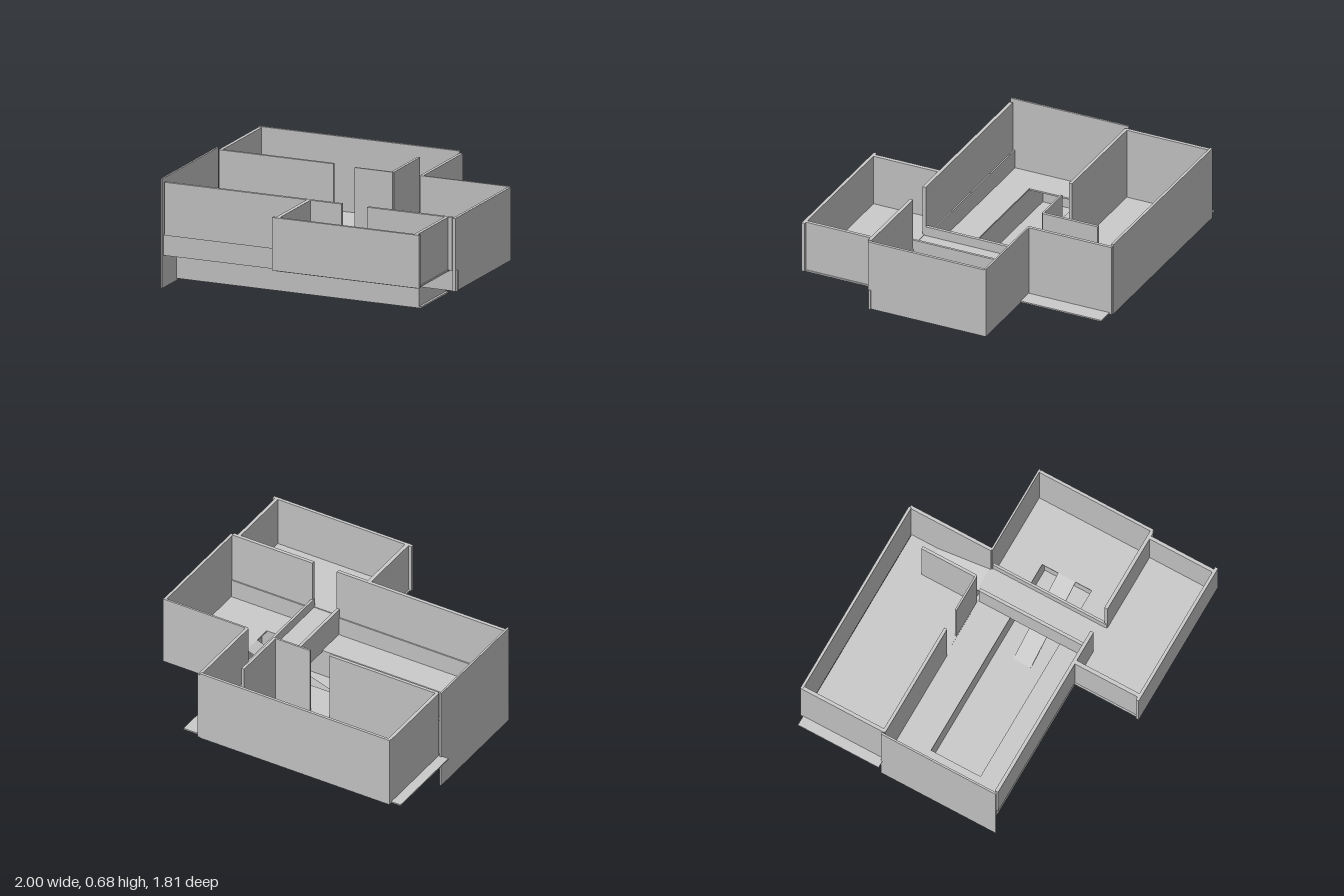
import * as THREE from 'three';

const material = new THREE.MeshStandardMaterial({ color: 0xcccccc, flatShading: true, side: THREE.DoubleSide });

export function createModel() {
  const model = new THREE.Group();
  model.name = 'openRoofHouse';

  const add = (name, geometry) => {
    const mesh = new THREE.Mesh(geometry, material);
    mesh.name = name;
    model.add(mesh);
    return mesh;
  };

  // Box given by its two extents on each axis
  const slab = (name, x0, x1, y0, y1, z0, z1) => {
    const g = new THREE.BoxGeometry(x1 - x0, y1 - y0, z1 - z0);
    g.translate((x0 + x1) / 2, (y0 + y1) / 2, (z0 + z1) / 2);
    return add(name, g);
  };

  // Main hall floor with the opening over the pit
  const floor = new THREE.Shape([[-0.95, -0.42], [0.99, -0.42], [0.99, 0.34], [-0.95, 0.34]]
    .map(p => new THREE.Vector2(...p)));
  floor.holes.push(new THREE.Path([[-0.75, -0.23], [-0.75, 0.11], [0.61, 0.11], [0.61, -0.23]]
    .map(p => new THREE.Vector2(...p))));
  const floorGeometry = new THREE.ExtrudeGeometry(floor, { depth: 0.01, bevelEnabled: false });
  floorGeometry.rotateX(-Math.PI / 2).translate(0, 0.2, 0);
  add('hallFloor', floorGeometry);

  // Main hall walls
  slab('hallRightWall', -0.955, -0.943, 0, 0.68, -0.34, 0.45);
  slab('hallLeftWall', 0.972, 0.99, 0.2, 0.655, -0.335, 0.445);
  slab('hallFrontLowerWall', -0.943, 1.0, 0.2, 0.33, 0.422, 0.436);
  slab('hallFrontWall', -0.93, 0.24, 0.33, 0.66, 0.43, 0.452);
  slab('hallFrontWall', 0.41, 0.972, 0.33, 0.66, 0.43, 0.452);
  slab('hallBackWall', -0.93, -0.175, 0.2, 0.67, -0.342, -0.322);
  slab('hallBackWall', -0.04, 0.21, 0.2, 0.66, -0.345, -0.333);
  slab('hallBackWall', 0.4, 0.99, 0.2, 0.66, -0.345, -0.333);

  // Raised walkway with low parapets
  slab('walkwayDeck', 0.24, 0.41, 0.32, 0.33, -0.35, 0.45);
  slab('walkwayParapet', 0.22, 0.24, 0.2, 0.39, -0.325, 0.45);
  slab('walkwayParapet', 0.405, 0.42, 0.2, 0.39, -0.335, 0.45);

  // Back room
  slab('backRoomFloor', -1.0, 0.52, 0.203, 0.212, -0.885, -0.33);
  slab('backRoomBackWall', -0.935, 0.395, 0.2, 0.675, -0.905, -0.888);
  slab('backRoomRightWall', -0.935, -0.913, 0.2, 0.67, -0.9, -0.33);
  slab('backRoomLeftWall', 0.392, 0.412, 0.2, 0.66, -0.9, -0.34);
  slab('rampSideWall', 0.2, 0.218, 0.2, 0.66, -0.71, -0.34);

  // Front room
  slab('frontRoomFloor', 0.0, 0.95, 0.325, 0.335, 0.44, 0.89);
  slab('frontRoomFrontWall', -0.01, 0.962, 0.33, 0.66, 0.882, 0.902);
  slab('frontRoomRightWall', 0.01, 0.035, 0.33, 0.66, 0.45, 0.89);
  slab('frontRoomLeftWall', 0.924, 0.945, 0.33, 0.66, 0.45, 0.89);

  // Sunken pit below the hall
  slab('pitFloor', -0.945, 0.675, 0.013, 0.023, -0.13, 0.255);
  slab('pitFrontWall', -0.945, 0.66, 0.02, 0.2, 0.235, 0.255);
  slab('pitBackWall', -0.945, 0.66, 0.02, 0.2, -0.13, -0.112);
  slab('pitEndWall', 0.645, 0.66, 0.02, 0.2, -0.112, 0.235);

  // Ramp from the back room up to the walkway
  const wedge = new THREE.Shape([[0.71, 0.21], [0.35, 0.21], [0.35, 0.33]].map(p => new THREE.Vector2(...p)));
  const wedgeGeometry = new THREE.ExtrudeGeometry(wedge, { depth: 0.174, bevelEnabled: false });
  wedgeGeometry.rotateY(Math.PI / 2).translate(0.218, 0, 0);
  add('walkwayRamp', wedgeGeometry);

  // Ramp from the hall floor down into the pit
  const ramp = new THREE.Shape([[0.06, 0.023], [0.61, 0.21], [0.61, 0.2], [0.09, 0.023]]
    .map(p => new THREE.Vector2(...p)));
  const rampGeometry = new THREE.ExtrudeGeometry(ramp, { depth: 0.12, bevelEnabled: false });
  add('pitRamp', rampGeometry);

  return model;
}
